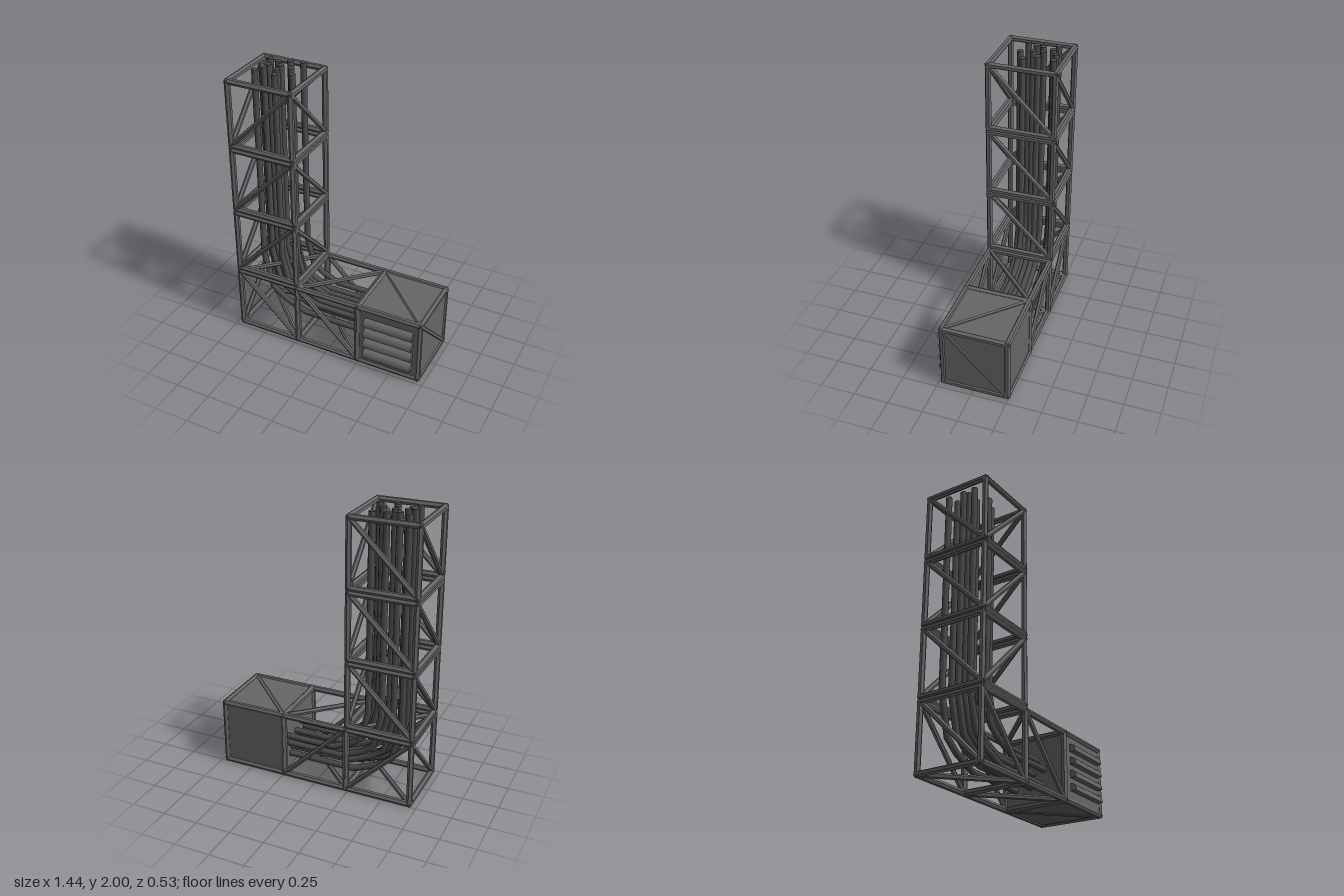
import * as THREE from 'three';

const frameMat = new THREE.MeshStandardMaterial({ color: 0x666666, flatShading: true });
const panelMat = new THREE.MeshStandardMaterial({ color: 0x666666, flatShading: true });
const pipeMat = new THREE.MeshStandardMaterial({ color: 0x4c4c4c });

const V = (x, y, z) => new THREE.Vector3(x, y, z);
const UP = V(0, 1, 0);
const BAR = 0.021;          // bar radius
const ZB = -0.244, ZF = 0.214; // back and front bar axes

// Straight piecewise path, sampled exactly at its points
class Polyline extends THREE.Curve {
  constructor(points) { super(); this.points = points; }
  getPoint(t, target = new THREE.Vector3()) {
    const n = this.points.length - 1;
    const i = Math.min(Math.floor(t * n + 1e-9), n - 1);
    return target.lerpVectors(this.points[i], this.points[i + 1], t * n - i);
  }
  getPointAt(t, target) { return this.getPoint(t, target); }
  getTangentAt(t, target = new THREE.Vector3()) {
    const n = this.points.length - 1, k = Math.round(t * n);
    const a = this.points[Math.max(k - 1, 0)], b = this.points[k], c = this.points[Math.min(k + 1, n)];
    const d1 = b.clone().sub(a).normalize(), d2 = c.clone().sub(b).normalize();
    return target.copy(d1).add(d2).normalize();
  }
}

function bar(group, a, b, name, r = BAR, extra = 0.02) {
  const dir = b.clone().sub(a);
  const mesh = new THREE.Mesh(new THREE.CylinderGeometry(r, r, dir.length() + extra, 6), frameMat);
  mesh.position.copy(a).add(b).multiplyScalar(0.5);
  mesh.quaternion.setFromUnitVectors(UP, dir.normalize());
  mesh.name = name;
  group.add(mesh);
}

// Cube frame: 12 edges plus chosen diagonals, each given as two corners [x, y, z] of 0 or 1
function cell(name, x0, x1, y0, y1, diagonals) {
  const g = new THREE.Group();
  g.name = name;
  const at = ([i, j, k]) => V(i ? x1 : x0, j ? y1 : y0, k ? ZF : ZB);
  for (const a of [0, 1]) for (const b of [0, 1]) {
    bar(g, at([0, a, b]), at([1, a, b]), 'edgeBar');
    bar(g, at([a, 0, b]), at([a, 1, b]), 'edgeBar');
    bar(g, at([a, b, 0]), at([a, b, 1]), 'edgeBar');
  }
  for (const [a, b] of diagonals) bar(g, at(a), at(b), 'diagonalBrace', 0.018, 0);
  return g;
}

// Diagonals by face
const rising = [[[0, 0, 1], [1, 1, 1]], [[0, 0, 0], [1, 1, 0]]];   // front and back
const falling = [[[0, 1, 1], [1, 0, 1]], [[0, 1, 0], [1, 0, 0]]];
const rightSide = [[1, 1, 1], [1, 0, 0]];
const leftSide = [[0, 0, 1], [0, 1, 0]];
const bottom = [[0, 0, 0], [1, 0, 1]];
const top = [[0, 1, 1], [1, 1, 0]];
const boxTop = [[0, 1, 0], [1, 1, 1]];

function pipe(x, z) {
  const y = 0.14 + (x + 0.6) * 0.68;      // inner pipes run higher
  const s = 1 - (x + 0.6) * 1.9;          // outer pipes bend wider
  const rx = 0.14 + 0.2 * s, ry = 0.2 + 0.22 * s;
  const pts = [
    V(x, 2, z), V(x, y + ry, z),
    V(x + rx * 0.2, y + ry * 0.35, z),
    V(x + rx * 0.5, y + ry * 0.17, z),
    V(x + rx, y, z), V(0.25, y, z),
  ];
  const g = new THREE.Group();
  g.name = 'pipe';
  g.add(new THREE.Mesh(new THREE.TubeGeometry(new Polyline(pts), pts.length - 1, 0.022, 10), pipeMat));
  const cap = new THREE.Mesh(new THREE.CircleGeometry(0.022, 10), pipeMat);
  cap.rotation.x = -Math.PI / 2;
  cap.position.copy(pts[0]);
  g.add(cap);
  g.children.forEach((m, i) => { m.name = i ? 'pipeEnd' : 'pipeRun'; });
  return g;
}

export function createModel() {
  const model = new THREE.Group();
  model.name = 'pipeRack';

  // Lower row
  const yLow = 0.022, yHigh = 0.482;
  model.add(cell('cornerFrame', -0.7, -0.236, yLow, yHigh, [...falling, leftSide, bottom, top]));
  model.add(cell('middleFrame', -0.232, 0.236, yLow, yHigh, [...falling, bottom, top]));
  model.add(cell('boxFrame', 0.24, 0.7, yLow, yHigh, [rightSide, bottom, boxTop]));

  // Tower
  for (let k = 1; k <= 3; k++) {
    const y = yLow + 0.493 * k;
    model.add(cell('towerFrame', -0.7, -0.24, y, y + 0.46, [...rising, rightSide, leftSide]));
  }

  // Closed box inside the end frame
  const box = new THREE.Mesh(new THREE.BoxGeometry(0.475, 0.475, 0.473), panelMat);
  box.position.set(0.47, 0.252, -0.015);
  box.name = 'boxPanels';
  model.add(box);

  // Quarter-round louvres on the box front
  const louvre = new THREE.Shape();
  louvre.moveTo(0, 0);
  louvre.lineTo(0.045, 0);
  louvre.quadraticCurveTo(0.045, 0.045, 0.012, 0.05);
  louvre.lineTo(0, 0.05);
  const louvreGeo = new THREE.ExtrudeGeometry(louvre, { depth: 0.36, bevelEnabled: false, curveSegments: 4 });
  louvreGeo.rotateY(-Math.PI / 2);       // profile depth to +z, length to -x
  for (let i = 0; i < 4; i++) {
    const m = new THREE.Mesh(louvreGeo, panelMat);
    m.position.set(0.66, 0.095 + 0.09 * i, 0.22);
    m.name = 'louvre';
    model.add(m);
  }

  // Pipe bundle: x and z of each upright
  const pipes = [
    [-0.6, -0.16], [-0.53, -0.14], [-0.46, -0.18], [-0.37, -0.192], [-0.555, -0.065],
    [-0.48, -0.09], [-0.595, -0.04], [-0.565, -0.015], [-0.47, -0.02], [-0.395, -0.075],
    [-0.34, 0.01], [-0.595, 0.05], [-0.44, 0.06],
  ];
  for (const [x, z] of pipes) model.add(pipe(x, z));

  return model;
}
